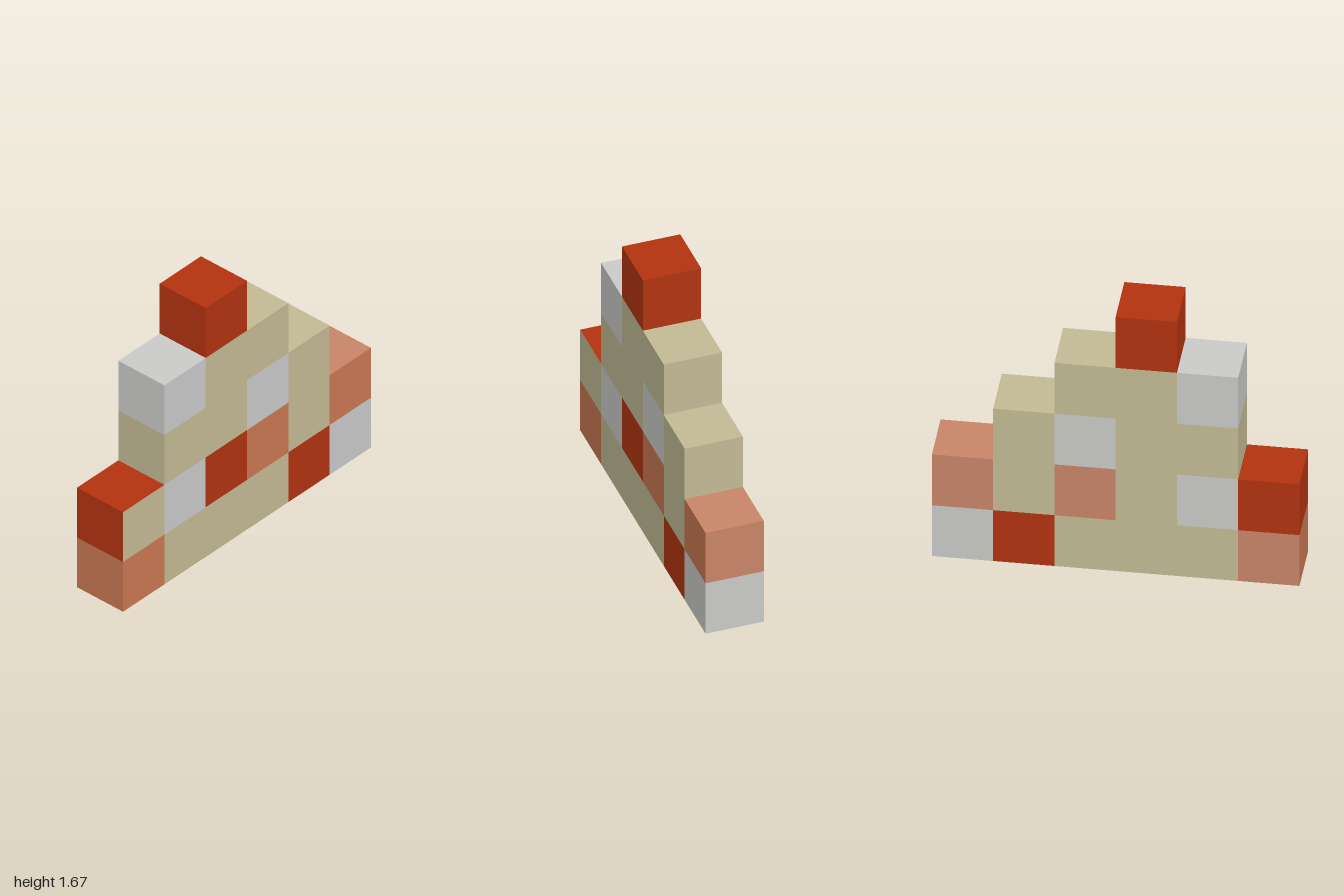
import * as THREE from 'three';
import { mergeGeometries } from 'three/addons/utils/BufferGeometryUtils.js';

const S = 1 / 3; // block edge

// Block layout, bottom row first: r red, s sand, g grey, t terracotta
const FRONT = ['tsssrg', 'sgrtst', '.ssgs.', '.gss..', '..r...'];

// Outward directions and the rotation that turns a +z plane to face them
const SIDES = [
  { name: 'front', d: [0, 0, 1], r: [0, 0] },
  { name: 'back', d: [0, 0, -1], r: [0, Math.PI] },
  { name: 'left', d: [1, 0, 0], r: [0, Math.PI / 2] },
  { name: 'right', d: [-1, 0, 0], r: [0, -Math.PI / 2] },
  { name: 'top', d: [0, 1, 0], r: [-Math.PI / 2, 0] },
  { name: 'bottom', d: [0, -1, 0], r: [Math.PI / 2, 0] },
];

function material(name, color) {
  const m = new THREE.MeshStandardMaterial({ color });
  m.name = name;
  return m;
}

export function createModel() {
  const group = new THREE.Group();
  group.name = 'blockWall';
  const mats = {
    r: material('brick red', 0xb23310),
    s: material('sand', 0xc2b994),
    g: material('light grey', 0xc9c9c8),
    t: material('terracotta', 0xc87751),
    p: material('pale terracotta', 0xc88468),
  };
  const names = { r: 'redBlock', s: 'sandBlock', g: 'greyBlock', t: 'terracottaBlock' };
  const cell = (col, row) => FRONT[row]?.[col] ?? '.';

  // Colour of one face: terracotta is paler on some sides, one red block has a sand back
  function faceColour(kind, side, col, row) {
    if (kind === 't' && ['back', 'left', 'top'].includes(side)) return 'p';
    if (side === 'back' && col === 2 && row === 1) return 's';
    // The lower left end block has a red block behind its sand face above it
    if (side !== 'front' && col === 0 && row === 1) return 'r';
    return kind;
  }

  for (let row = 0; row < FRONT.length; row++) {
    for (let col = 0; col < 6; col++) {
      const kind = cell(col, row);
      if (kind === '.') continue;
      const faces = [];
      const faceMats = [];
      for (const { name, d, r } of SIDES) {
        // Only outer faces are built
        if (d[2] === 0 && cell(col + d[0], row + d[1]) !== '.') continue;
        const face = new THREE.PlaneGeometry(S, S);
        face.rotateX(r[0]).rotateY(r[1]);
        face.translate(d[0] * S / 2, d[1] * S / 2, d[2] * S / 2);
        faces.push(face);
        faceMats.push(mats[faceColour(kind, name, col, row)]);
      }
      const block = new THREE.Mesh(mergeGeometries(faces, true), faceMats);
      block.name = names[kind];
      block.position.set(-1 + (col + 0.5) * S, (row + 0.5) * S, 0);
      group.add(block);
    }
  }
  return group;
}
